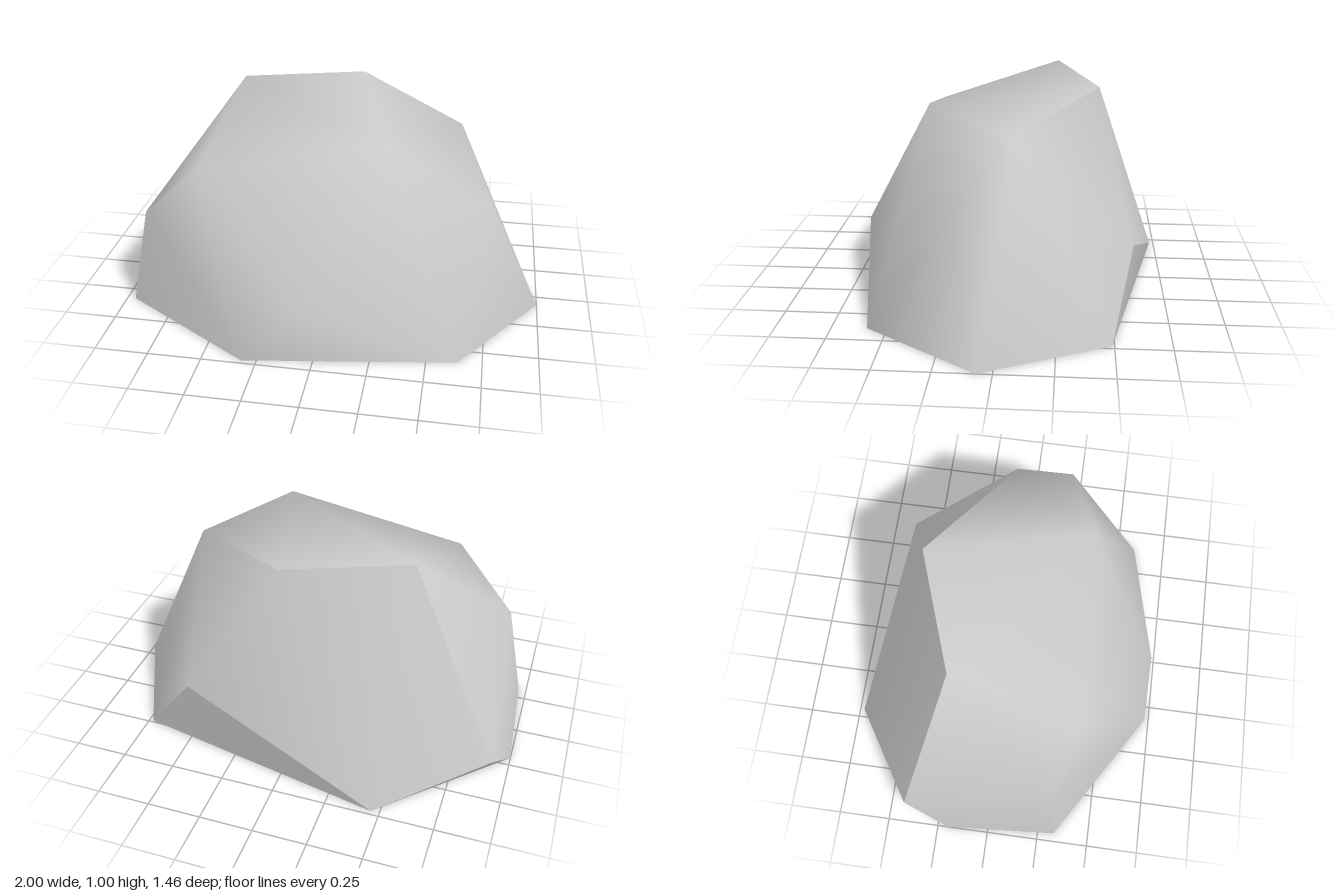
import * as THREE from 'three';
import { ConvexGeometry } from 'three/addons/geometries/ConvexGeometry.js';

// Outline on the ground, then the shoulder corners, then the crown
const base = [
  [0.64, 0, 0.59], [1, 0, 0.07], [0.73, 0, -0.49], [-0.46, 0, -0.73],
  [-1, 0, -0.2], [-0.96, 0, 0.33], [-0.32, 0, 0.73],
];
const shoulder = [
  [-0.93, 0.15, -0.42], [0.47, 0.36, -0.58], [-0.06, 0.26, 0.71],
  [-0.87, 0.48, 0.3], [-0.58, 0.77, 0.385], [0.75, 0.58, 0.2],
];
const crown = [
  [-0.49, 0.995, -0.22], [0.07, 0.98, -0.42], [0.27, 0.94, 0.34], [0.58, 0.88, -0.06],
];

// Smoothing patch of a face at one corner; differing patches make a sharp edge there
function patchAt(corner, normal) {
  if (normal.y < -0.02 && normal.z < 0) return 'undercut';
  if (normal.z < -0.5 && corner.x < 0.1) return 'backWall';
  if (normal.z > 0.4 && corner.x < -0.8) return 'frontWall';
  return 'shell';
}

// Convex shell through the corners, open underneath, smooth inside each patch
function boulderGeometry() {
  const points = [...base, ...shoulder, ...crown].map((p) => new THREE.Vector3(...p));
  const hull = new ConvexGeometry(points).getAttribute('position');
  const positions = [], index = [], shared = new Map();
  const normal = new THREE.Vector3();
  for (let i = 0; i < hull.count; i += 3) {
    const face = [0, 1, 2].map((k) => new THREE.Vector3().fromBufferAttribute(hull, i + k));
    if (face.every((v) => v.y < 0.001)) continue;
    new THREE.Triangle(...face).getNormal(normal);
    for (const v of face) {
      const key = `${patchAt(v, normal)} ${v.toArray().map((n) => n.toFixed(3))}`;
      if (!shared.has(key)) {
        shared.set(key, shared.size);
        positions.push(...v.toArray());
      }
      index.push(shared.get(key));
    }
  }
  const geometry = new THREE.BufferGeometry();
  geometry.setAttribute('position', new THREE.Float32BufferAttribute(positions, 3));
  geometry.setIndex(index);
  geometry.computeVertexNormals();
  return geometry;
}

export function createModel() {
  const stone = new THREE.MeshStandardMaterial({ color: 0xcacaca, side: THREE.DoubleSide });
  stone.name = 'stone grey';

  const boulder = new THREE.Mesh(boulderGeometry(), stone);
  boulder.name = 'boulder';

  const model = new THREE.Group();
  model.name = 'rock';
  model.add(boulder);
  return model;
}
